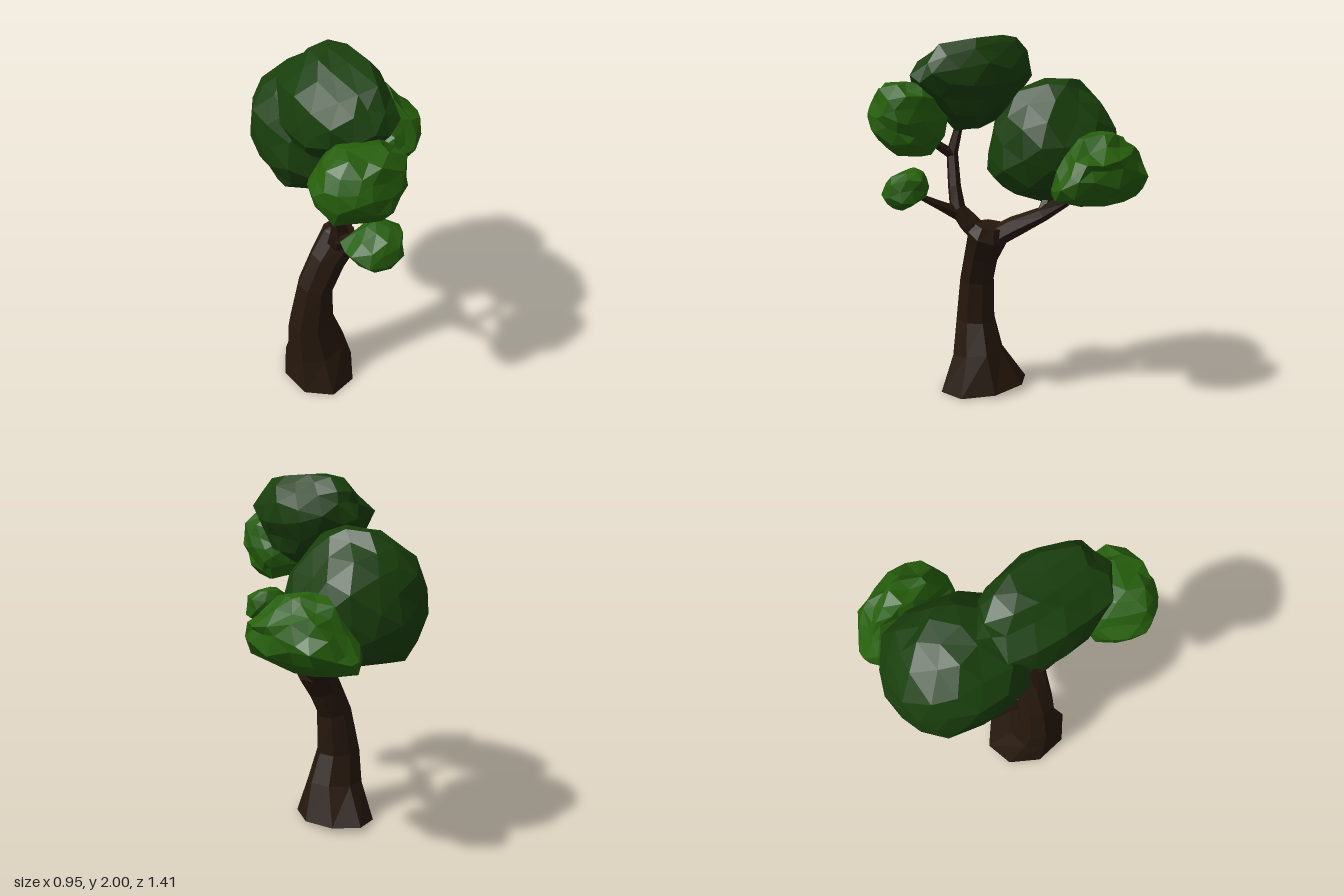
import * as THREE from 'three';
import { mergeVertices } from 'three/addons/utils/BufferGeometryUtils.js';

const bark = new THREE.MeshStandardMaterial({ color: 0x26180d, flatShading: true });
const darkLeaf = new THREE.MeshStandardMaterial({ color: 0x193f0c, flatShading: true });
const lightLeaf = new THREE.MeshStandardMaterial({ color: 0x265f0c, flatShading: true });

// Faceted limb lofted through rings of [x, y, z, radiusX, radiusZ]
function limb(name, rings, sides) {
  const centres = rings.map(r => new THREE.Vector3(r[0], r[1], r[2]));
  const pos = [], index = [], last = rings.length - 1;
  rings.forEach(([, , , rx, rz = rx], i) => {
    const t = centres[Math.min(i + 1, last)].clone().sub(centres[Math.max(i - 1, 0)]).normalize();
    const u = new THREE.Vector3(1, 0, 0).addScaledVector(t, -t.x).normalize();
    const v = t.clone().cross(u);
    for (let j = 0; j < sides; j++) {
      const a = (j / sides) * Math.PI * 2;
      const p = centres[i].clone().addScaledVector(u, Math.cos(a) * rx).addScaledVector(v, Math.sin(a) * rz);
      pos.push(p.x, Math.max(p.y, 0), p.z);
    }
  });
  for (let i = 0; i < last; i++) {
    for (let j = 0; j < sides; j++) {
      const k = (j + 1) % sides, a = i * sides, b = a + sides;
      index.push(a + j, a + k, b + k, a + j, b + k, b + j);
    }
  }
  // end caps
  const top = last * sides;
  for (let j = 1; j < sides - 1; j++) index.push(0, j + 1, j, top, top + j, top + j + 1);
  const g = new THREE.BufferGeometry();
  g.setAttribute('position', new THREE.Float32BufferAttribute(pos, 3));
  g.setIndex(index);
  g.computeVertexNormals();
  const mesh = new THREE.Mesh(g, bark);
  mesh.name = name;
  return mesh;
}

// Lumpy leaf mass: a faceted ball moulded to sections [y, minX, maxX, minZ, maxZ], listed downwards.
// power squares the sections off, skew turns their long axis towards the x = z diagonal
function foliage(name, material, sections, { detail = 2, rough = 0.03, power = 2.2, skew = 0, seed }) {
  let g = new THREE.IcosahedronGeometry(1, detail);
  g.deleteAttribute('normal');
  g.deleteAttribute('uv');
  g = mergeVertices(g, 1e-3);
  g.computeBoundingBox();
  const p = g.attributes.position, hMax = g.boundingBox.max.y;
  const yTop = sections[0][0], yLow = sections[sections.length - 1][0];
  let s = seed * 7919;
  const rand = () => (s = (s * 16807) % 2147483647) / 2147483647 - 0.5;
  for (let i = 0; i < 10; i++) rand();
  for (let i = 0; i < p.count; i++) {
    const x = p.getX(i), z = p.getZ(i);
    const y = THREE.MathUtils.mapLinear(p.getY(i) / hMax, -1, 1, yLow, yTop);
    // section at this height
    let k = 1;
    while (k < sections.length - 1 && sections[k][0] > y) k++;
    const a = sections[k - 1], b = sections[k];
    const f = THREE.MathUtils.clamp((a[0] - y) / (a[0] - b[0]), 0, 1);
    const [, x0, x1, z0, z1] = a.map((n, j) => THREE.MathUtils.lerp(n, b[j], f));
    // point on its rim
    const norm = (Math.abs(x) ** power + Math.abs(z) ** power) ** (1 / power) || 1;
    const uz = z / norm, ux = (x / norm) * Math.sqrt(1 - skew * skew) + skew * uz;
    p.setXYZ(i,
      (x0 + x1) / 2 + ux * (x1 - x0) / 2 + rand() * rough,
      THREE.MathUtils.clamp(y + rand() * rough, yLow, yTop),
      (z0 + z1) / 2 + uz * (z1 - z0) / 2 + rand() * rough);
  }
  g.computeVertexNormals();
  const mesh = new THREE.Mesh(g, material);
  mesh.name = name;
  return mesh;
}

export function createModel() {
  const tree = new THREE.Group();
  tree.name = 'tree';

  // Leaning trunk with a flared foot
  tree.add(limb('trunk', [
    [-0.265, 0, 0.05, 0.205, 0.26],
    [-0.285, 0.22, 0.08, 0.165, 0.15],
    [-0.31, 0.41, 0.085, 0.13, 0.115],
    [-0.275, 0.66, 0.085, 0.1, 0.1],
    [-0.2, 0.82, 0.08, 0.1, 0.1],
    [-0.12, 0.94, 0.065, 0.1, 0.12],
    [-0.1, 0.99, 0.06, 0.06, 0.09],
  ], 8));

  // Branches and twigs
  tree.add(limb('backBranch', [
    [-0.12, 0.91, 0.05, 0.06], [-0.06, 0.98, -0.06, 0.058], [0.04, 1.06, -0.19, 0.04],
    [0.12, 1.14, -0.28, 0.035], [0.22, 1.25, -0.36, 0.02],
  ], 6));
  tree.add(limb('backTwig', [
    [0.03, 1.05, -0.18, 0.03], [0.01, 1.14, -0.22, 0.024], [-0.02, 1.25, -0.26, 0.015],
  ], 5));
  tree.add(limb('frontBranch', [
    [-0.14, 0.91, 0.09, 0.06], [-0.165, 1.0, 0.165, 0.06], [-0.18, 1.08, 0.225, 0.045],
    [-0.2, 1.2, 0.235, 0.036], [-0.235, 1.38, 0.235, 0.032], [-0.22, 1.56, 0.19, 0.02],
  ], 6));
  tree.add(limb('upperTwig', [
    [-0.23, 1.37, 0.24, 0.03], [-0.22, 1.43, 0.33, 0.024], [-0.2, 1.5, 0.45, 0.015],
  ], 5));
  tree.add(limb('lowerTwig', [
    [-0.18, 1.05, 0.22, 0.04], [-0.16, 1.1, 0.32, 0.028], [-0.13, 1.18, 0.48, 0.012],
  ], 5));

  // Leaf masses
  tree.add(foliage('topFoliage', darkLeaf, [
    [2.0, -0.16, -0.06, -0.06, 0.08],
    [1.95, -0.25, 0.02, -0.16, 0.34],
    [1.8, -0.39, 0.09, -0.2, 0.5],
    [1.68, -0.39, 0.05, -0.13, 0.43],
    [1.6, -0.38, 0.03, -0.06, 0.32],
    [1.5, -0.25, -0.1, 0.12, 0.24],
  ], { skew: 0.2, power: 2.3, seed: 3 }));
  tree.add(foliage('backFoliage', darkLeaf, [
    [1.78, -0.14, -0.02, -0.42, -0.32],
    [1.72, -0.28, 0.05, -0.5, -0.1],
    [1.62, -0.42, 0.11, -0.6, -0.02],
    [1.5, -0.45, 0.2, -0.65, 0.02],
    [1.35, -0.46, 0.22, -0.67, 0.05],
    [1.25, -0.41, 0.2, -0.66, 0.04],
    [1.15, -0.37, 0.14, -0.6, -0.06],
    [1.08, -0.34, -0.1, -0.45, -0.25],
  ], { power: 2.3, seed: 5 }));
  tree.add(foliage('leftFoliage', lightLeaf, [
    [1.51, 0.22, 0.31, -0.5, -0.4],
    [1.45, 0.16, 0.39, -0.58, -0.27],
    [1.38, 0.13, 0.46, -0.62, -0.2],
    [1.25, 0.08, 0.46, -0.7, -0.11],
    [1.18, 0.06, 0.4, -0.67, -0.15],
    [1.13, 0.16, 0.32, -0.52, -0.32],
  ], { skew: 0.3, power: 2.5, rough: 0.045, seed: 8 }));
  tree.add(foliage('frontFoliage', lightLeaf, [
    [1.76, -0.24, -0.08, 0.44, 0.58],
    [1.7, -0.36, 0.01, 0.35, 0.67],
    [1.57, -0.4, 0.03, 0.28, 0.7],
    [1.46, -0.38, 0, 0.31, 0.66],
    [1.38, -0.2, -0.08, 0.4, 0.54],
  ], { power: 2.4, rough: 0.04, seed: 11 }));
  tree.add(foliage('smallFoliage', lightLeaf, [
    [1.33, -0.13, -0.05, 0.45, 0.51],
    [1.27, -0.2, 0.03, 0.42, 0.62],
    [1.21, -0.28, 0.03, 0.4, 0.64],
    [1.15, -0.22, 0.02, 0.46, 0.65],
    [1.1, -0.14, -0.08, 0.55, 0.6],
  ], { detail: 1, rough: 0.02, seed: 14 }));
  return tree;
}
